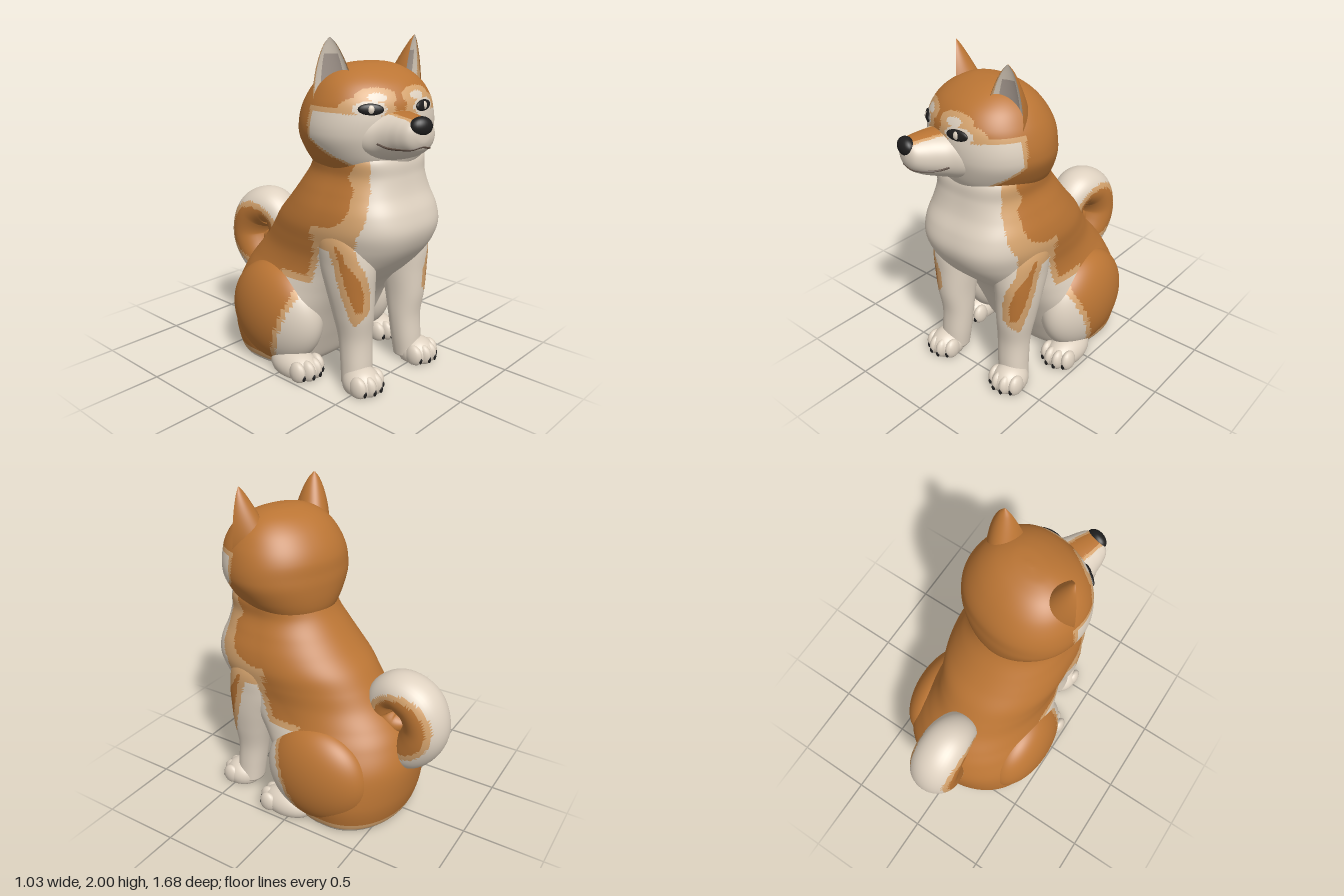
import * as THREE from 'three';
import { mergeVertices } from 'three/addons/utils/BufferGeometryUtils.js';

const mat = (name, color) => Object.assign(new THREE.MeshStandardMaterial({ color }), { name });
const { min, max, abs, sin, cos, sign, PI } = Math;

// Catmull-Rom interpolation of rows of numbers, k steps per span
function smoothRows(rows, k) {
  const out = [], n = rows.length;
  for (let i = 0; i < n - 1; i++) {
    const [a, b, c, d] = [rows[max(i - 1, 0)], rows[i], rows[i + 1], rows[min(i + 2, n - 1)]];
    for (let s = 0; s < k; s++) {
      const t = s / k;
      out.push(b.map((v, j) => v + 0.5 * t * (c[j] - a[j] + t * (2 * a[j] - 5 * v + 4 * c[j] - d[j]
        + t * (3 * (v - c[j]) + d[j] - a[j])))));
    }
  }
  out.push(rows[n - 1]);
  return out;
}

// Superellipse ring with its own squareness for the front and back halves
const ring = (front, back = front) => a =>
  [cos(a), sin(a)].map(v => sign(v) * abs(v) ** (2 / (sin(a) > 0 ? front : back)));

// Closed loft through level rings; each row is [y, cx, cz, rx, rz]
function loft(rows, shape, k, n) {
  const R = smoothRows(rows, k), pos = [], idx = [];
  for (const [y, cx, cz, rx, rz] of R) {
    for (let i = 0; i < n; i++) {
      const [u, v] = shape(i / n * 2 * PI);
      pos.push(cx + rx * u, y, cz + rz * v);
    }
  }
  const last = R.length - 1, c0 = R.length * n;
  pos.push(R[0][1], R[0][0], R[0][2], R[last][1], R[last][0], R[last][2]);
  for (let i = 0; i < n; i++) {
    const j = (i + 1) % n;
    for (let r = 0; r < last; r++) {
      const a = r * n + i, b = a + n, c = r * n + j, d = c + n;
      idx.push(a, b, c, c, b, d);
    }
    idx.push(c0, i, j, c0 + 1, last * n + j, last * n + i);
  }
  const g = new THREE.BufferGeometry();
  g.setAttribute('position', new THREE.Float32BufferAttribute(pos, 3));
  g.setIndex(idx);
  g.computeVertexNormals();
  return g;
}

function weld(g) {
  g.deleteAttribute('uv');
  g.deleteAttribute('normal');
  g = mergeVertices(g, 1e-5);
  g.computeVertexNormals();
  return g;
}

// Ellipsoid, flattened where it meets the ground
function dome(x, y, z, rx, ry, rz, seg = 14) {
  const g = new THREE.SphereGeometry(1, seg, seg).scale(rx, ry, rz).translate(x, y, z);
  const p = g.attributes.position;
  for (let i = 0; i < p.count; i++) p.setY(i, max(0, p.getY(i)));
  return weld(g);
}

// Sort the triangles into material groups by a rule on their centre and normal
function paint(g, rule, count) {
  const bins = Array.from({ length: count }, () => []), ix = g.index.array;
  const v = [0, 1, 2].map(() => new THREE.Vector3()), n = new THREE.Vector3(), tri = new THREE.Triangle();
  const c = new THREE.Vector3();
  for (let i = 0; i < ix.length; i += 3) {
    v.forEach((p, k) => p.fromBufferAttribute(g.attributes.position, ix[i + k]));
    tri.set(...v).getNormal(n);
    tri.getMidpoint(c);
    bins[rule(c, n)].push(ix[i], ix[i + 1], ix[i + 2]);
  }
  g.setIndex(bins.flat());
  let start = 0;
  bins.forEach((b, m) => { if (b.length) g.addGroup(start, b.length, m); start += b.length; });
  return g;
}

// Cream above zero, a tan border just below it, orange beyond
const shade = (d, band = 0.04) => (d > 0 ? 2 : d > -band ? 1 : 0);

const bib = [[0, 0.5], [0.4, 0.34], [0.5, 0.25], [0.6, 0.25], [0.7, 0.28], [0.8, 0.325], [0.95, 0.345],
  [1.05, 0.31], [1.2, 0.25], [1.5, 0.23]];
function bibWidth(y) {
  const i = max(1, bib.findIndex(b => b[0] > y)), [a, b] = [bib[i - 1], bib[i]];
  return THREE.MathUtils.mapLinear(y, a[0], b[0], a[1], b[1]);
}

// Coat pattern of the trunk and front legs
function coat({ x, y, z }, n) {
  if (y < 0.004 && n.y < -0.9) return 4;
  const chest = min(bibWidth(y) - abs(x), z - 0.25);
  const wedge = min(0.34 + 0.3 * (0.87 - y) - z, z - 0.27 + 0.32 * (0.87 - y), 0.85 - y);
  const belly = max(min(0.4 * (0.385 - y), z), min(0.6 - y, z, 0.4 - z));
  return shade(max(chest, wedge, belly, 0.02 - y), 0.045);
}

// Coat pattern of the head, in its own turned frame
function face({ x, y, z }) {
  const cheek = min(z - 0.035 - max(0, 1.47 - y) * 1.3, 1.6 + 0.05 * abs(x) - y);
  const spot = (sx, sy, rx, ry) => z < 0.1 ? -1 : (1 - Math.hypot((abs(x) - sx) / rx, (y - sy) / ry)) * ry;
  return shade(max(cheek, spot(0.125, 1.7, 0.05, 0.022), spot(0.17, 1.64, 0.085, 0.042)), 0.026);
}

export function createModel() {
  const orange = mat('orange fur', 0xbb7534), tan = mat('tan fur', 0xd6a46e), cream = mat('cream fur', 0xdfd2c1);
  const black = mat('black', 0x1f1e1e), inner = mat('inner ear', 0xb0a399), lip = mat('lip line', 0x5c4a3e);
  const under = mat('underside', 0x9c9185);
  const fur = [orange, tan, cream, inner, under];
  const model = new THREE.Group();
  const add = (parent, name, geo, material) => {
    const m = new THREE.Mesh(geo, material);
    m.name = name;
    parent.add(m);
  };
  const painted = (parent, name, geo, rule) => add(parent, name, paint(geo, rule, fur.length), fur);
  // Profile rows [y, front z, back z, half width] to loft rows
  const profile = rows => rows.map(([y, f, b, w]) => [y, 0, (f + b) / 2, w, (f - b) / 2]);

  // Trunk, from seat to neck
  painted(model, 'trunk', loft(profile([
    [0, 0.06, -0.57, 0.41], [0.05, 0.1, -0.605, 0.435], [0.2, 0.17, -0.64, 0.465], [0.4, 0.27, -0.645, 0.45],
    [0.55, 0.38, -0.59, 0.405], [0.65, 0.49, -0.52, 0.375], [0.75, 0.59, -0.43, 0.365], [0.85, 0.66, -0.36, 0.375],
    [0.95, 0.69, -0.29, 0.385], [1.05, 0.67, -0.2, 0.37], [1.15, 0.625, -0.12, 0.335],
    [1.25, 0.6, -0.05, 0.3], [1.35, 0.585, 0, 0.3], [1.45, 0.51, 0.05, 0.26],
  ]), ring(2.8, 2.1), 8, 128), coat);

  // Paw with four toes and claws
  function paw(name, x, front, length) {
    const g = new THREE.Group();
    g.name = name;
    model.add(g);
    add(g, 'foot', dome(x, 0.045, front - length / 2 - 0.01, 0.108, 0.1, length / 2, 28), cream);
    [-0.08, -0.028, 0.028, 0.08].forEach((o, i) => {
      const z = front - (i % 3 ? 0.06 : 0.09);
      add(g, 'toe', dome(x + o, 0.05, z, 0.036, 0.068, 0.06), cream);
      add(g, 'claw', dome(x + o, 0.032, z + 0.052, 0.012, 0.022, 0.012, 8), black);
    });
  }

  for (const s of [1, -1]) {
    const side = s > 0 ? 'left' : 'right';
    painted(model, side + 'FrontLeg', loft([
      [0.03, 0.25, 0.44, 0.09, 0.085], [0.15, 0.24, 0.43, 0.094, 0.09], [0.3, 0.235, 0.415, 0.097, 0.098],
      [0.45, 0.245, 0.405, 0.11, 0.125], [0.6, 0.25, 0.385, 0.125, 0.15], [0.75, 0.25, 0.36, 0.133, 0.18],
      [0.9, 0.245, 0.34, 0.138, 0.17], [1.05, 0.22, 0.32, 0.1, 0.12],
    ].map(r => [r[0], s * r[1], ...r.slice(2)]), ring(2.2), 8, 64), coat);
    paw(side + 'FrontPaw', s * 0.268, 0.625, 0.24);

    painted(model, side + 'Thigh', dome(s * 0.327, 0.325, -0.145, 0.188, 0.325, 0.35, 64),
      ({ y, z }) => shade(max(z - 0.11 + 0.36 * max(0, 0.5 - y), 0.02 - y), 0.035));
    paw(side + 'HindPaw', s * 0.375, 0.245, 0.36);
  }

  // Curled tail: a tube with varying thickness
  const path = new THREE.CatmullRomCurve3([
    [0.42, -0.5], [0.5, -0.63], [0.66, -0.705], [0.81, -0.65], [0.862, -0.52], [0.81, -0.43], [0.7, -0.42],
    [0.64, -0.5], [0.66, -0.58], [0.71, -0.6],
  ].map(([y, z]) => new THREE.Vector3(0, y, z)));
  const girth = smoothRows([[0.09], [0.125], [0.138], [0.138], [0.138], [0.13], [0.11], [0.095], [0.07], [0.005]], 9);
  const steps = girth.length - 1, sides = 40;
  const tail = new THREE.TubeGeometry(path, steps, 1, sides), tp = tail.attributes.position;
  for (let i = 0; i <= steps; i++) {
    const c = path.getPointAt(i / steps), r = girth[i][0];
    for (let j = 0; j <= sides; j++) {
      const k = i * (sides + 1) + j;
      tp.setXYZ(k, tp.getX(k) * r * 1.15, c.y + (tp.getY(k) - c.y) * r, c.z + (tp.getZ(k) - c.z) * r);
    }
  }
  painted(model, 'tail', weld(tail), ({ y, z }) => shade(Math.hypot(y - 0.69, z + 0.575) - 0.215, 0.035));

  // Head, turned a little to its right
  const head = new THREE.Group();
  head.name = 'head';
  head.position.set(-0.015, 0, 0.3);
  head.rotation.y = -0.31;
  model.add(head);
  painted(head, 'skull', loft(profile([
    [1.24, 0.2, -0.3, 0.25], [1.29, 0.26, -0.33, 0.285], [1.36, 0.3, -0.345, 0.335], [1.45, 0.325, -0.35, 0.382],
    [1.52, 0.335, -0.345, 0.392], [1.6, 0.335, -0.335, 0.38], [1.68, 0.32, -0.3, 0.352], [1.76, 0.265, -0.24, 0.3],
    [1.82, 0.18, -0.165, 0.225], [1.855, 0.09, -0.08, 0.13], [1.866, 0.01, -0.01, 0.02],
  ]), ring(2.15), 9, 128), face);

  // Muzzle, lofted upright and laid forward
  painted(head, 'muzzle', loft([
    [0.2, 0, -1.49, 0.27, 0.15], [0.28, 0, -1.49, 0.215, 0.138], [0.34, 0, -1.495, 0.165, 0.13],
    [0.4, 0, -1.502, 0.136, 0.12], [0.46, 0, -1.51, 0.116, 0.105], [0.51, 0, -1.52, 0.09, 0.083],
    [0.535, 0, -1.525, 0.045, 0.045], [0.54, 0, -1.525, 0.005, 0.005],
  ], ring(2.1), 8, 80).rotateX(PI / 2),
  ({ x, y, z }) => shade(max(abs(x) - 0.075 + 0.1 * (z - 0.35), 1.58 - y), 0.018));
  add(head, 'nose', dome(0, 1.568, 0.51, 0.068, 0.053, 0.045, 24), black);
  const mouth = new THREE.CatmullRomCurve3([
    [-0.157, 1.465, 0.345], [-0.128, 1.448, 0.395], [-0.096, 1.448, 0.46], [-0.054, 1.452, 0.51], [0, 1.465, 0.525],
    [0.054, 1.452, 0.51], [0.096, 1.448, 0.46], [0.128, 1.448, 0.395], [0.157, 1.465, 0.345],
  ].map(p => new THREE.Vector3(...p)));
  add(head, 'mouth', new THREE.TubeGeometry(mouth, 32, 0.006, 6), lip);

  // Cupped ears turned outwards, with pale insides, and almond eyes
  const cup = a => [cos(a), sin(a) * (sin(a) > 0 ? -0.35 : 1)];
  const earWidth = t => 0.112 * (1 - t ** 1.7) ** 0.75 + 0.004;
  for (const s of [1, -1]) {
    const side = s > 0 ? 'left' : 'right', rows = [];
    const earX = t => s * 0.026 * t;
    for (let i = 0; i <= 12; i++) {
      const t = i / 12;
      rows.push([1.66 + 0.34 * t, earX(t), -0.011 * t, earWidth(t), 0.21 * (1 - t) ** 0.9 + 0.004]);
    }
    const ear = new THREE.Group();
    ear.name = side + 'EarGroup';
    ear.position.set(s * 0.258, 0, 0.075);
    ear.rotation.y = s * 0.5;
    head.add(ear);
    painted(ear, side + 'Ear', loft(rows, cup, 3, 56), ({ x, y }, n) => {
      if (n.z < 0.25) return 0;
      const t = min(1, (y - 1.66) / 0.34), u = abs(x - earX(t)) / earWidth(t);
      return u > 0.92 ? 1 : u > 0.6 || t > 0.75 ? 2 : 3;
    });
    const eye = new THREE.Group();
    eye.name = side + 'Eye';
    eye.position.set(s * 0.168, 1.64, 0.298);
    eye.rotation.set(-0.12, s * 0.4, s * 0.08);
    head.add(eye);
    const ball = (rx, ry, rz) => new THREE.SphereGeometry(1, 20, 14).scale(rx, ry, rz);
    add(eye, 'eyeball', ball(0.07, 0.031, 0.016), black);
    add(eye, 'glint', ball(0.025, 0.027, 0.02), cream);
  }
  return model;
}
